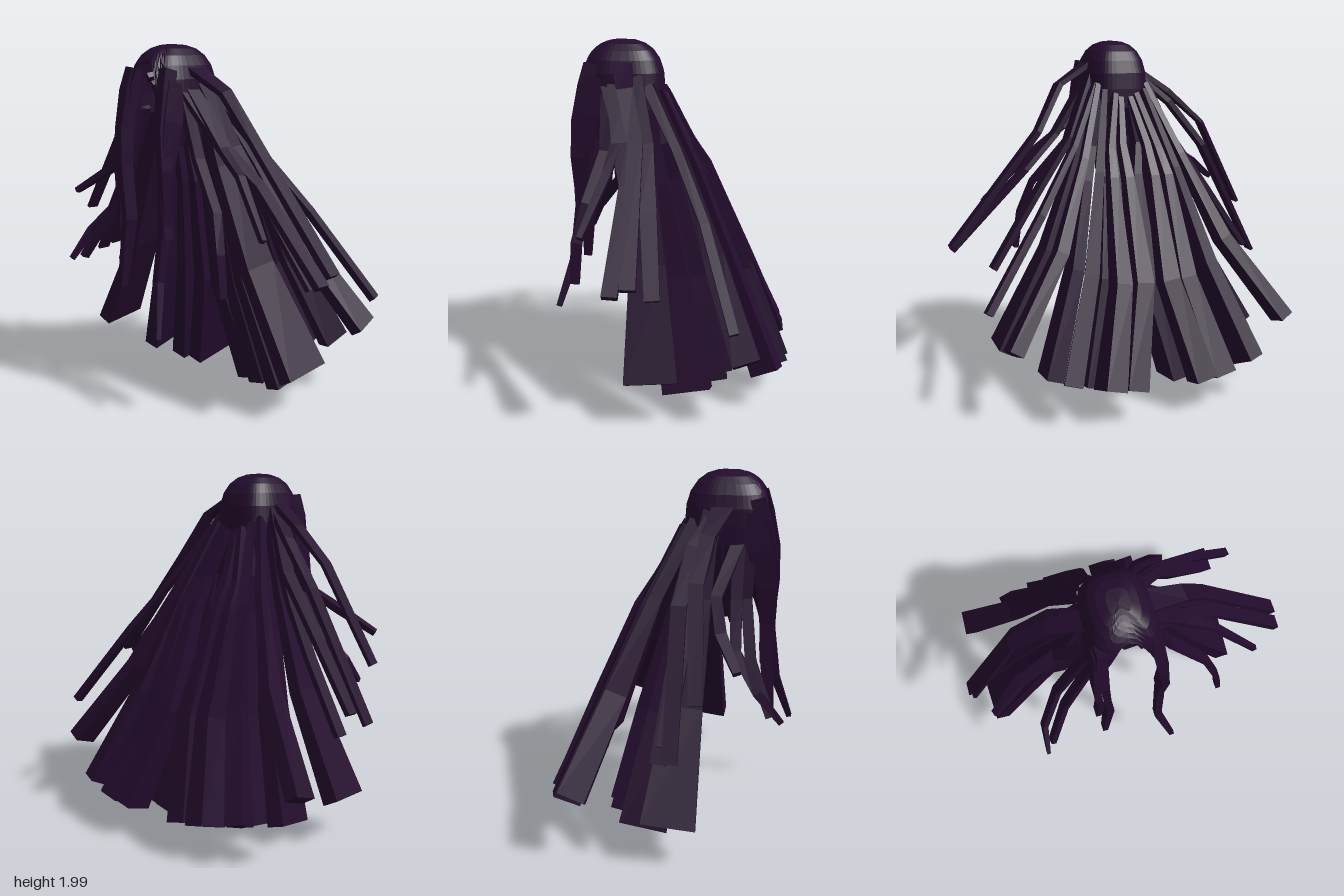
import * as THREE from 'three';

const hairMat = new THREE.MeshStandardMaterial({ color: 0x230c2d, side: THREE.DoubleSide });
hairMat.name = 'dark plum hair';
hairMat.flatShading = true;

const MID = -0.065; // the hair parts slightly right of the origin

function makeMesh(name, pos, idx) {
  const geo = new THREE.BufferGeometry();
  geo.setAttribute('position', new THREE.Float32BufferAttribute(pos, 3));
  geo.setIndex(idx);
  const flat = geo.toNonIndexed();
  flat.computeVertexNormals();
  const mesh = new THREE.Mesh(flat, hairMat);
  mesh.name = name;
  return mesh;
}

// Angular lock: rectangular sections [x, y, z, depth, thickness] lofted along a path.
function strand(name, sections, yaw = 0) {
  const centres = sections.map((s) => new THREE.Vector3(s[0], s[1], s[2]));
  const last = sections.length - 1;
  const pos = [], idx = [];
  sections.forEach((s, i) => {
    const t = centres[Math.min(i + 1, last)].clone().sub(centres[Math.max(i - 1, 0)]).normalize();
    const u = new THREE.Vector3(-Math.sin(yaw), 0, Math.cos(yaw));
    u.addScaledVector(t, -u.dot(t)).normalize();
    const v = new THREE.Vector3().crossVectors(t, u);
    for (const [a, b] of [[-1, -1], [1, -1], [1, 1], [-1, 1]]) {
      const p = centres[i].clone().addScaledVector(u, a * s[3] / 2).addScaledVector(v, b * s[4] / 2);
      pos.push(p.x, p.y, p.z);
    }
    if (i < last) {
      for (let k = 0; k < 4; k++) {
        const a = i * 4 + k, b = i * 4 + (k + 1) % 4;
        idx.push(a, b, b + 4, a, b + 4, a + 4);
      }
    }
  });
  const e = last * 4;
  idx.push(0, 2, 1, 0, 3, 2, e, e + 1, e + 2, e, e + 2, e + 3);
  return makeMesh(name, pos, idx);
}

// Domed cap, rounded-square in plan, with an arched opening at the front.
function cap() {
  const rows = 7, cols = 48, pos = [], idx = [];
  const se = (c) => Math.sign(c) * Math.pow(Math.abs(c), 2 / 3);
  for (let j = 0; j <= cols; j++) {
    const phi = (j / cols) * Math.PI * 2; // 0 is the front
    const across = Math.cos(phi) > 0 ? Math.min(1, Math.abs(se(Math.sin(phi))) / 0.68) : 1;
    const rim = 1.92 - 0.3 * Math.pow(across, 3);
    for (let i = 0; i <= rows; i++) {
      const y = 2 - (2 - rim) * Math.pow(i / rows, 2.2);
      const h = Math.max(0, (y - 1.72) / 0.28);
      const r = Math.pow(Math.max(0, 1 - Math.pow(h, 2.5)), 1 / 2.5);
      pos.push(MID + 0.187 * r * se(Math.sin(phi)), y, 0.285 + 0.235 * r * se(Math.cos(phi)));
      if (i < rows && j < cols) {
        const a = j * (rows + 1) + i, b = a + rows + 1;
        idx.push(a, a + 1, b + 1, a, b + 1, b);
      }
    }
  }
  return makeMesh('cap', pos, idx);
}

// Heavy locks, given for the left half and mirrored.
const PAIRS = {
  backLockInner: [[-0.035, 1.68, 0.05, 0.04, 0.03], [0.01, 1.42, -0.09, 0.06, 0.04], [0.012, 1.25, -0.19, 0.08, 0.05], [0.015, 0.7, -0.41, 0.13, 0.1], [0.145, 0.17, -0.6, 0.18, 0.12]],
  backLockSecond: [[0.0, 1.7, 0.05, 0.05, 0.03], [0.08, 1.4, -0.09, 0.06, 0.04], [0.1, 1.25, -0.18, 0.08, 0.05], [0.13, 0.7, -0.39, 0.13, 0.09], [0.265, 0.18, -0.59, 0.18, 0.12]],
  backLockThird: [[0.05, 1.72, 0.07, 0.05, 0.03], [0.16, 1.28, -0.14, 0.07, 0.05], [0.28, 0.75, -0.34, 0.12, 0.08], [0.46, 0.22, -0.55, 0.16, 0.1]],
  backLockOuter: [[0.08, 1.75, 0.12, 0.06, 0.03], [0.23, 1.35, -0.07, 0.07, 0.04], [0.43, 0.87, -0.25, 0.12, 0.07], [0.75, 0.4, -0.43, 0.15, 0.08]],
  lowerLockInner: [[-0.035, 1.64, 0.06, 0.05, 0.03], [0.01, 1.42, 0.07, 0.1, 0.035], [-0.015, 1.23, 0.03, 0.14, 0.05], [0.003, 0.62, -0.1, 0.24, 0.09], [0.14, 0.045, -0.22, 0.29, 0.1]],
  lowerLockSecond: [[0.01, 1.66, 0.07, 0.07, 0.03], [0.07, 1.42, 0.09, 0.11, 0.04], [0.07, 1.22, 0.04, 0.15, 0.05], [0.13, 0.65, -0.07, 0.24, 0.08], [0.26, 0.055, -0.19, 0.29, 0.11]],
  lowerLockThird: [[0.06, 1.7, 0.13, 0.08, 0.04], [0.12, 1.4, 0.12, 0.12, 0.04], [0.17, 1.2, 0.08, 0.15, 0.05], [0.27, 0.7, 0.0, 0.22, 0.07], [0.46, 0.09, -0.11, 0.27, 0.1]],
  lowerLockOuter: [[0.09, 1.75, 0.2, 0.1, 0.04], [0.2, 1.35, 0.16, 0.13, 0.04], [0.4, 0.8, 0.11, 0.2, 0.07], [0.7, 0.245, 0.07, 0.29, 0.09]],
  sideLock: [[0.1, 1.8, 0.22, 0.11, 0.03], [0.25, 1.45, 0.14, 0.1, 0.03], [0.48, 1.12, 0.1, 0.09, 0.03], [0.74, 0.73, 0.06, 0.08, 0.03]],
  templeLock: [[0.09, 1.8, 0.42, 0.12, 0.04], [0.11, 1.6, 0.47, 0.13, 0.04], [0.12, 1.4, 0.51, 0.1, 0.03], [0.1, 1.2, 0.52, 0.08, 0.03], [0.12, 0.98, 0.52, 0.06, 0.03]],
};
// Turn of the outer locks away from the parting
const YAW = { backLockThird: 0.35, backLockOuter: 0.15, lowerLockThird: 0.12, lowerLockOuter: 0.1 };

// Loose wisps, different on each side.
const WISPS = {
  leftWispHigh: [[0.07, 1.88, 0.28, 0.12, 0.03], [0.28, 1.75, 0.24, 0.09, 0.03], [0.43, 1.49, 0.17, 0.08, 0.03], [0.94, 0.86, 0.16, 0.08, 0.04]],
  leftWispLow: [[0.09, 1.78, 0.3, 0.12, 0.03], [0.3, 1.46, 0.27, 0.09, 0.03], [0.5, 1.27, 0.21, 0.08, 0.03], [0.94, 0.82, 0.25, 0.08, 0.04]],
  leftWispBack: [[0.09, 1.75, 0.14, 0.06, 0.03], [0.28, 1.42, -0.04, 0.05, 0.03], [0.52, 1.08, -0.2, 0.05, 0.04], [0.86, 0.61, -0.36, 0.05, 0.04]],
  leftWispFront: [[0.1, 1.75, 0.36, 0.07, 0.03], [0.25, 1.5, 0.28, 0.06, 0.03], [0.46, 1.33, 0.32, 0.05, 0.03], [0.71, 1.05, 0.43, 0.03, 0.03]],
  leftCheekWisp: [[0.1, 1.7, 0.36, 0.07, 0.04], [0.2, 1.4, 0.36, 0.07, 0.03], [0.4, 1.15, 0.44, 0.06, 0.03], [0.47, 0.95, 0.49, 0.06, 0.03], [0.5, 0.73, 0.5, 0.05, 0.03]],
  leftForelock: [[0.07, 1.87, 0.45, 0.08, 0.05], [0.08, 1.75, 0.48, 0.09, 0.06], [0.1, 1.55, 0.52, 0.09, 0.05], [0.12, 1.35, 0.53, 0.08, 0.04], [0.11, 1.1, 0.52, 0.06, 0.04], [0.1, 0.75, 0.57, 0.05, 0.04], [0.18, 0.47, 0.66, 0.03, 0.03]],
  rightWispHigh: [[-0.2, 1.84, 0.28, 0.12, 0.03], [-0.4, 1.7, 0.21, 0.08, 0.03], [-0.61, 1.51, 0.18, 0.08, 0.02], [-0.9, 0.98, 0.22, 0.07, 0.02]],
  rightWispMiddle: [[-0.21, 1.8, 0.25, 0.1, 0.03], [-0.38, 1.64, 0.14, 0.08, 0.03], [-0.58, 1.38, 0.09, 0.08, 0.03], [-0.95, 0.68, 0.1, 0.08, 0.02]],
  rightWispLow: [[-0.22, 1.7, 0.22, 0.08, 0.03], [-0.45, 1.27, 0.1, 0.08, 0.03], [-0.6, 1.0, 0.06, 0.08, 0.03], [-0.83, 0.61, 0.02, 0.08, 0.03]],
  rightWispFront: [[-0.22, 1.65, 0.36, 0.07, 0.03], [-0.4, 1.38, 0.26, 0.06, 0.04], [-0.62, 1.25, 0.31, 0.06, 0.04], [-0.8, 1.12, 0.41, 0.04, 0.03]],
  rightCheekWisp: [[-0.22, 1.65, 0.36, 0.07, 0.03], [-0.33, 1.35, 0.36, 0.06, 0.03], [-0.44, 1.1, 0.37, 0.06, 0.03], [-0.56, 0.92, 0.5, 0.05, 0.03], [-0.58, 0.77, 0.63, 0.03, 0.02]],
  rightCurl: [[-0.22, 1.65, 0.42, 0.07, 0.03], [-0.29, 1.35, 0.41, 0.06, 0.03], [-0.42, 1.05, 0.45, 0.06, 0.03], [-0.54, 0.78, 0.57, 0.05, 0.03]],
  rightForelock: [[-0.2, 1.87, 0.45, 0.08, 0.05], [-0.21, 1.75, 0.48, 0.09, 0.06], [-0.21, 1.55, 0.52, 0.09, 0.05], [-0.2, 1.35, 0.53, 0.08, 0.04], [-0.18, 1.05, 0.52, 0.08, 0.04], [-0.22, 0.66, 0.55, 0.05, 0.03]],
};

export function createModel() {
  const hair = new THREE.Group();
  hair.name = 'hair';
  hair.add(cap());
  for (const [name, s] of Object.entries(PAIRS)) {
    const yaw = YAW[name] ?? 0;
    hair.add(strand(name + 'Left', s, yaw));
    hair.add(strand(name + 'Right', s.map(([x, ...rest]) => [2 * MID - x, ...rest]), -yaw));
  }
  for (const [name, s] of Object.entries(WISPS)) hair.add(strand(name, s));
  return hair;
}
